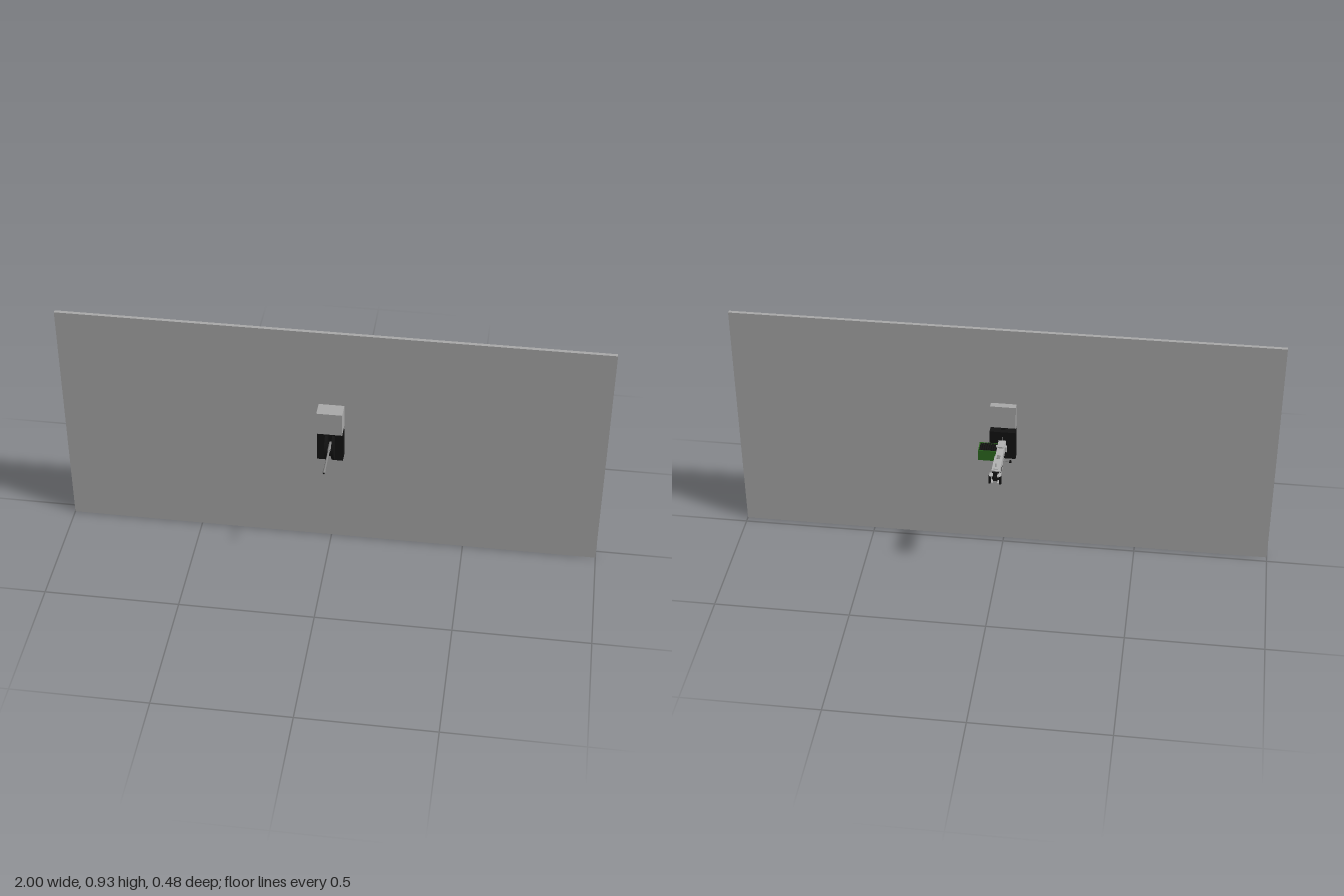
import * as THREE from 'three';

const mat = (name, color) => {
  const m = new THREE.MeshStandardMaterial({ color });
  m.name = name;
  return m;
};

export function createModel() {
  const root = new THREE.Group();
  root.name = 'mountedGun';
  const panelGrey = mat('panelGrey', 0xa9a9a9);
  const steel = mat('steel', 0xb2b2b2);
  const barrelGrey = mat('barrelGrey', 0x858585);
  const black = mat('black', 0x121212);
  const green = mat('green', 0x2d6a20);

  const add = (name, geo, material, x = 0, y = 0, z = 0) => {
    const m = new THREE.Mesh(geo, material);
    m.name = name;
    m.position.set(x, y, z);
    root.add(m);
    return m;
  };
  // box from its limits on each axis
  const box = (name, material, x0, x1, y0, y1, z0, z1) =>
    add(name, new THREE.BoxGeometry(x1 - x0, y1 - y0, z1 - z0), material,
      (x0 + x1) / 2, (y0 + y1) / 2, (z0 + z1) / 2);
  // round rod along z, or along x / y
  const rod = (name, material, r, len, x, y, z, axis = 'z', sides = 16) => {
    const g = new THREE.CylinderGeometry(r, r, len, sides);
    if (axis === 'z') g.rotateX(Math.PI / 2);
    if (axis === 'x') g.rotateZ(Math.PI / 2);
    return add(name, g, material, x, y, z);
  };
  // side outline given as [z, y] points, extruded across x
  const slab = (name, material, pts, x0, x1) => {
    const s = new THREE.Shape(pts.map(([z, y]) => new THREE.Vector2(-z, y)));
    const g = new THREE.ExtrudeGeometry(s, { depth: x1 - x0, bevelEnabled: false });
    g.rotateY(Math.PI / 2);
    return add(name, g, material, x0, 0, 0);
  };

  // armour panel and sight housing
  box('panel', panelGrey, -1, 1, 0, 0.929, 0.024, 0.037);
  box('sightHousing', panelGrey, -0.047, 0.047, 0.526, 0.617, 0, 0.096);

  // mount: cheeks and rotating discs either side of the barrel slot
  for (const s of [-1, 1]) {
    box('mountCheek', black, s > 0 ? 0.009 : -0.048, s > 0 ? 0.048 : -0.009, 0.397, 0.513, -0.01, 0.079);
    rod('mountDisc', black, 0.06, 0.01, s * 0.013, 0.454, 0.052, 'x', 48);
  }
  box('mountCore', black, -0.01, 0.01, 0.398, 0.512, -0.009, 0.06);
  box('mountTopLug', black, -0.008, 0.008, 0.512, 0.526, 0.007, 0.014);

  // barrel
  rod('barrel', barrelGrey, 0.0038, 0.185, 0, 0.462, 0.135);
  rod('barrelSleeve', barrelGrey, 0.0055, 0.05, 0, 0.462, 0.085);
  rod('muzzle', barrelGrey, 0.005, 0.018, 0, 0.462, 0.231);
  rod('muzzleBore', black, 0.003, 0.001, 0, 0.462, 0.2402);
  rod('barrelCollar', black, 0.013, 0.012, 0, 0.462, -0.014);

  // receiver
  slab('receiverFront', steel, [[-0.015, 0.448], [-0.015, 0.478], [-0.022, 0.485],
    [-0.116, 0.482], [-0.116, 0.446], [-0.06, 0.446]], -0.013, 0.013);
  slab('receiverRear', steel, [[-0.115, 0.441], [-0.115, 0.483], [-0.135, 0.486],
    [-0.213, 0.486], [-0.213, 0.438]], -0.015, 0.015);
  box('topCover', steel, -0.011, 0.011, 0.478, 0.489, -0.07, -0.03);
  box('feedFlange', steel, -0.02, 0.02, 0.452, 0.474, -0.048, -0.036);
  for (const s of [-1, 1]) {
    box('sideGroove', black, s * 0.0153 - 0.0007, s * 0.0153 + 0.0007, 0.457, 0.461, -0.207, -0.145);
    box('lowerRail', barrelGrey, s * 0.0138 - 0.001, s * 0.0138 + 0.001, 0.464, 0.467, -0.112, -0.08);
  }
  rod('frontSight', steel, 0.0015, 0.014, 0, 0.491, -0.021, 'y', 8);
  rod('rearSight', steel, 0.0018, 0.02, 0, 0.495, -0.193, 'y', 8);
  box('rearSightBase', steel, -0.008, 0.008, 0.484, 0.489, -0.205, -0.185);
  box('coverLatch', barrelGrey, -0.006, 0.006, 0.481, 0.487, -0.14, -0.118);

  // cocking handle on the right
  rod('cockingArm', barrelGrey, 0.002, 0.03, -0.029, 0.466, -0.123, 'x', 10);
  rod('cockingKnob', black, 0.005, 0.008, -0.043, 0.466, -0.123, 'x', 12);

  // rear plate, spade grips and trigger
  box('rearPlate', black, -0.012, 0.012, 0.443, 0.482, -0.217, -0.212);
  for (const s of [-1, 1]) {
    rod('spadeGrip', black, 0.0045, 0.032, s * 0.019, 0.461, -0.233, 'y', 12);
    for (const y of [0.447, 0.476])
      slab('gripArm', steel, [[-0.214, y - 0.002], [-0.214, y + 0.002],
        [-0.236, y + 0.002], [-0.236, y - 0.002]], s > 0 ? 0.008 : -0.021, s > 0 ? 0.021 : -0.008);
  }
  box('trigger', black, -0.004, 0.004, 0.456, 0.467, -0.228, -0.216);

  // ammunition box on the left, open at the top with a belt inside
  box('ammoBoxFloor', green, 0.016, 0.083, 0.428, 0.432, -0.075, -0.022);
  box('ammoBoxFront', green, 0.016, 0.083, 0.428, 0.471, -0.025, -0.022);
  box('ammoBoxBack', green, 0.016, 0.083, 0.428, 0.471, -0.075, -0.072);
  box('ammoBoxInner', green, 0.016, 0.019, 0.428, 0.468, -0.073, -0.024);
  box('ammoBoxOuter', green, 0.08, 0.083, 0.428, 0.468, -0.073, -0.024);
  box('ammoFill', black, 0.018, 0.081, 0.431, 0.462, -0.073, -0.024);
  for (let i = 0; i < 8; i++)
    rod('beltRound', black, 0.0038, 0.044, 0.016 + i * 0.0085, 0.467 + 0.004 * Math.sin(i * 0.45), -0.049, 'z', 8);
  box('ammoBracket', steel, 0.011, 0.018, 0.438, 0.452, -0.065, -0.032);

  return root;
}
